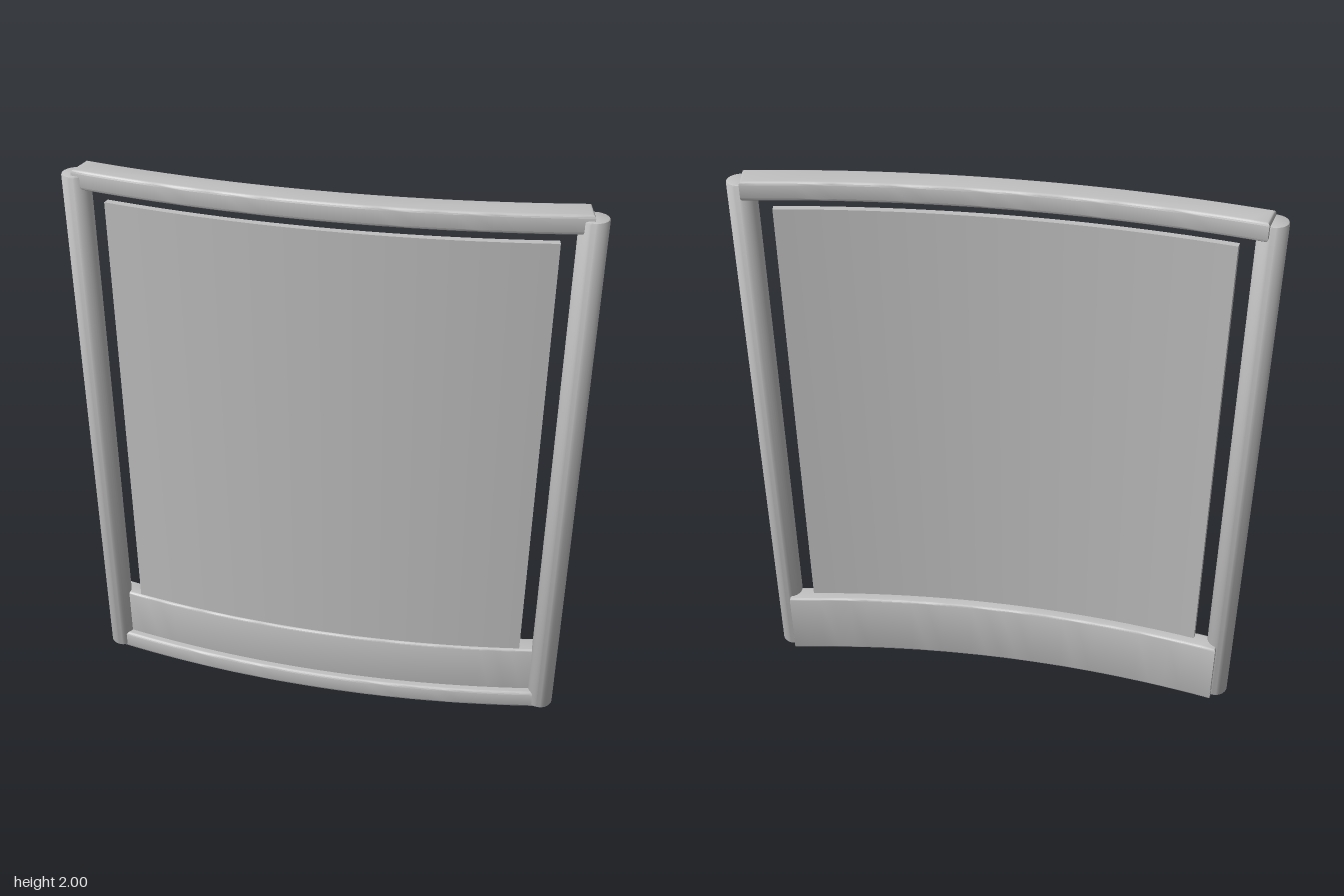
import * as THREE from 'three';
import { toCreasedNormals } from 'three/addons/utils/BufferGeometryUtils.js';

const FRONT_R = 4.3;            // radius of the outermost curved face
const CENTRE_Z = 0.0875 - FRONT_R; // shared centre of all curved parts

// Curved bar seen from above as an arc band, raised from y0 to y1 with rounded edges.
// front and back are z values on the centre line; halfX is the half width at the front face.
function arcBand(front, back, halfX, y0, y1, bevel) {
  const outer = front - CENTRE_Z, inner = back - CENTRE_Z;
  const half = Math.asin(halfX / outer), steps = 28;
  const points = [];
  for (const [r, dir] of [[outer, 1], [inner, -1]]) {
    for (let i = 0; i <= steps; i++) {
      const a = dir * half * (2 * i / steps - 1);
      points.push(new THREE.Vector2(r * Math.sin(a), -(CENTRE_Z + r * Math.cos(a))));
    }
  }
  const geometry = new THREE.ExtrudeGeometry(new THREE.Shape(points), {
    depth: y1 - y0 - 2 * bevel,
    bevelEnabled: bevel > 0,
    bevelThickness: bevel,
    bevelSize: bevel,
    bevelOffset: -bevel,
    bevelSegments: 3,
  });
  geometry.rotateX(-Math.PI / 2);
  geometry.translate(0, y0 + bevel, 0);
  return toCreasedNormals(geometry, 0.6);
}

export function createModel() {
  const group = new THREE.Group();
  const grey = new THREE.MeshStandardMaterial({ color: 0xc0c0c0 });
  grey.name = 'grey';

  const add = (name, geometry) => {
    const mesh = new THREE.Mesh(geometry, grey);
    mesh.name = name;
    group.add(mesh);
    return mesh;
  };

  // Curved horizontal members
  add('topRail', arcBand(0.0875, -0.01, 0.832, 1.935, 2, 0.01));
  add('bottomRail', arcBand(0.0875, -0.008, 0.832, 0, 0.07, 0.01));
  add('kickPlate', arcBand(0.06, -0.01, 0.826, 0.002, 0.258, 0.008));

  // Thin curved infill panel
  add('panel', arcBand(0.05, 0.026, 0.735, 0.25, 1.89, 0));

  // Round side posts with slightly softened ends
  const profile = [[0, 0.008], [0.041, 0.008], [0.045, 0.01], [0.047, 0.014],
    [0.047, 1.975], [0.045, 1.979], [0.041, 1.981], [0, 1.981]]
    .map(([r, y]) => new THREE.Vector2(r, y));
  const postGeometry = toCreasedNormals(new THREE.LatheGeometry(profile, 40), 0.6);
  for (const [name, side] of [['leftPost', 1], ['rightPost', -1]]) {
    add(name, postGeometry).position.set(side * 0.828, 0, -0.027);
  }

  return group;
}
